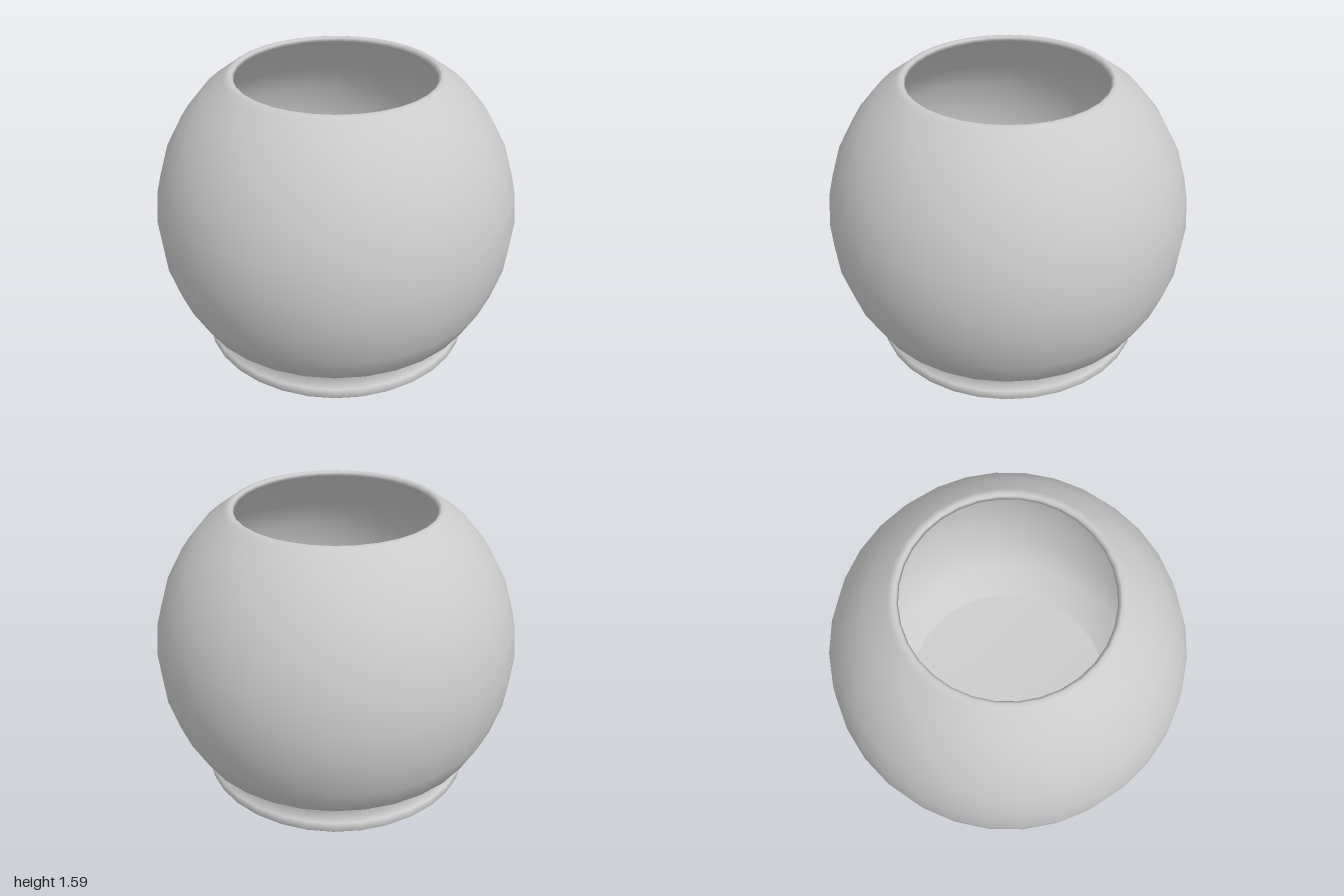
import * as THREE from 'three';

const SEGMENTS = 32;
const BELLY_Y = 0.78;

export function createModel() {
  const group = new THREE.Group();
  const material = new THREE.MeshStandardMaterial({ color: 0xcccccc });

  // Turns a profile of [radius, height] points around the y axis
  const turned = (name, profile) => {
    const points = profile.map(([r, y]) => new THREE.Vector2(r, y));
    const mesh = new THREE.Mesh(new THREE.LatheGeometry(points, SEGMENTS), material);
    mesh.name = name;
    group.add(mesh);
  };

  // Points on a round wall, in steps of 1/32 turn from the belly line
  const wall = (radius, from, to) => {
    const points = [];
    const step = Math.sign(to - from);
    for (let i = from; i !== to + step; i += step) {
      const a = (i * Math.PI) / 16;
      points.push([radius * Math.cos(a), BELLY_Y + radius * Math.sin(a)]);
    }
    return points;
  };

  // Flat underside
  turned('base', [[0, 0], [0.735, 0]]);

  // Foot ring, pinched neck, round outside, rounded rim and top of the inner wall
  turned('bowl', [
    [0.735, 0], [0.76, 0.025], [0.76, 0.08], [0.66, 0.135],
    ...wall(1, -3, 4),
    [0.59, 1.572], [0.575, 1.585], [0.555, 1.59], [0.542, 1.583], [0.535, 1.565],
    ...wall(0.95, 4, -3).slice(1),
    [0.62, 0.16],
  ]);

  // Inside floor
  turned('floor', [[0.62, 0.16], [0.35, 0.14], [0, 0.135]]);

  return group;
}
